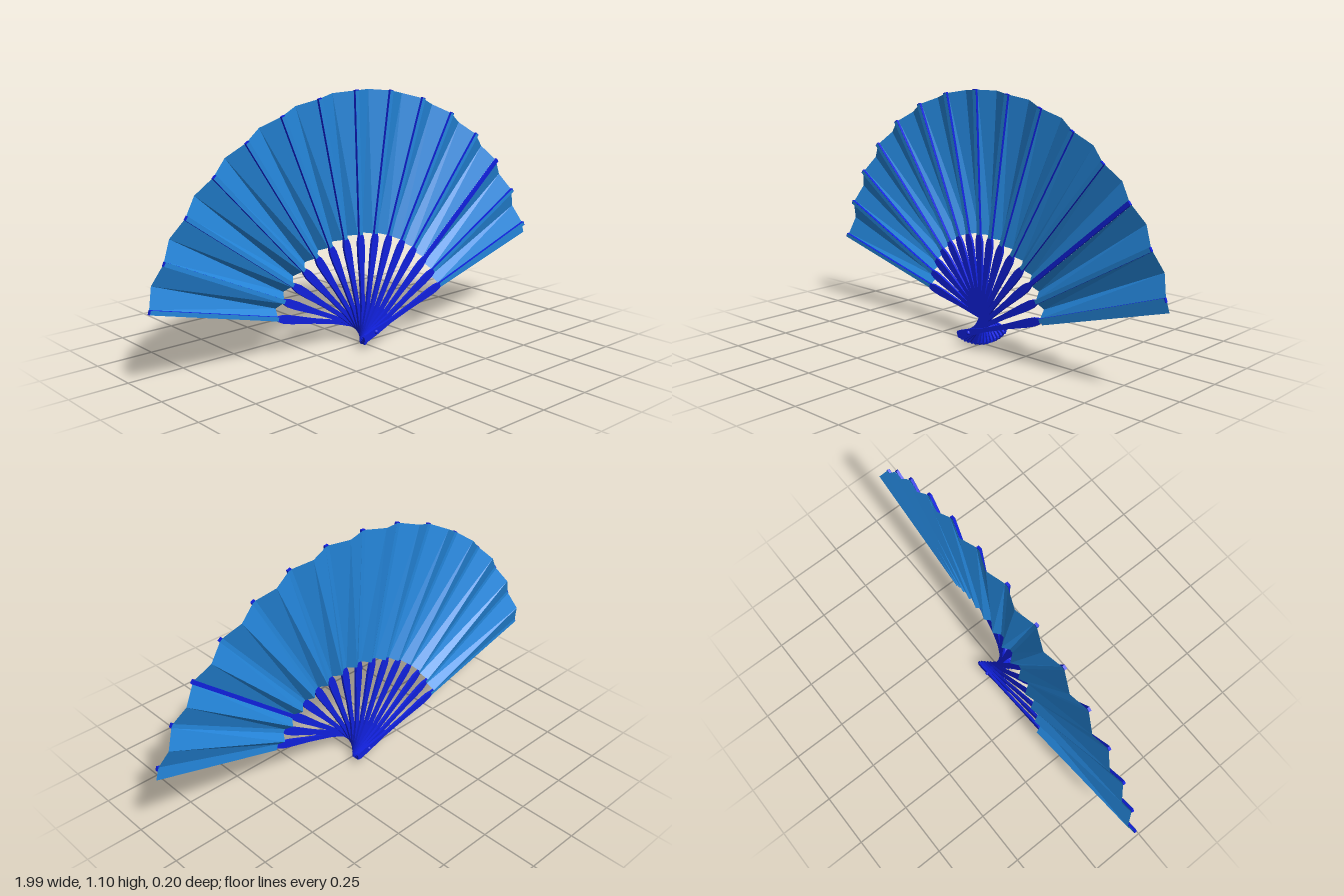
import * as THREE from 'three';

const COUNT = 15;                       // number of sticks
const STEP_Z = 0.0113;                  // thickness of each stick and its stacking step
const INNER = 0.415, OUTER = 1.03;      // leaf radii from the pivot
const HALF = 0.009;                     // half width of a stick under the leaf
const BARE = 2;                         // the one stick the leaf leaves uncovered
const rad = THREE.MathUtils.degToRad;
const stickAngle = (k) => rad(18.8 + (165.5 - 18.8) * k / (COUNT - 1));
const stickZ = (k) => 0.088 - STEP_Z * k;

// Point at radius r along an angle, shifted sideways by s
const polar = (r, a, s, z) => [
  r * Math.cos(a) - s * Math.sin(a), r * Math.sin(a) + s * Math.cos(a), z];

// Flat radial panel between two fold lines { a, s, z }
function addPanel(out, f, g) {
  const p = polar(INNER, f.a, f.s, f.z), q = polar(OUTER, f.a, f.s, f.z);
  const r = polar(OUTER, g.a, g.s, g.z), t = polar(INNER, g.a, g.s, g.z);
  out.push(...p, ...q, ...r, ...p, ...r, ...t);
}

// Facing the front, later fold lines lie counter-clockwise
function leafMesh(name, points, material) {
  const geo = new THREE.BufferGeometry();
  geo.setAttribute('position', new THREE.Float32BufferAttribute(points, 3));
  geo.computeVertexNormals();
  const mesh = new THREE.Mesh(geo, material);
  mesh.name = name;
  return mesh;
}

export function createModel() {
  const fan = new THREE.Group();
  fan.name = 'foldingFan';
  const stickMat = new THREE.MeshStandardMaterial({ color: 0x1020dd, flatShading: true });
  const leafMat = new THREE.MeshStandardMaterial({
    color: 0x2486db, flatShading: true, side: THREE.DoubleSide });

  // Stick outline: [distance from pivot, half width]
  const profile = [[-0.07, 0.012], [-0.06, 0.017], [0, 0.016], [0.09, 0.009], [0.22, 0.011],
    [0.34, 0.018], [0.385, 0.018], [0.405, 0.014], [0.42, HALF], [1.033, HALF]];
  const outline = [...profile.map(([x, w]) => new THREE.Vector2(x, -w)),
    ...profile.slice().reverse().map(([x, w]) => new THREE.Vector2(x, w))];
  const stickGeo = new THREE.ExtrudeGeometry(new THREE.Shape(outline),
    { depth: STEP_Z, bevelEnabled: false });
  stickGeo.translate(0, 0, -STEP_Z / 2);

  const sticks = new THREE.Group();
  sticks.name = 'sticks';
  for (let k = 0; k < COUNT; k++) {
    const stick = new THREE.Mesh(stickGeo, stickMat);
    stick.name = 'stick' + k;
    stick.rotation.z = stickAngle(k);
    stick.position.z = stickZ(k);
    sticks.add(stick);
  }
  fan.add(sticks);

  // Pleated leaf behind the sticks, with cover strips over their fronts
  const pleats = [], strips = [];
  for (let k = 0; k < COUNT; k++) {
    const a = stickAngle(k), back = stickZ(k) - STEP_Z / 2 - 0.0006;
    const left = { a, s: -HALF, z: back }, right = { a, s: HALF, z: back };
    if (k === 0) addPanel(pleats, { a: rad(16.1), s: 0, z: back }, left);
    if (k !== BARE) {
      addPanel(pleats, left, right);
      const front = stickZ(k) + STEP_Z / 2 + 0.0006;
      addPanel(strips, { a, s: -HALF, z: front }, { a, s: HALF, z: front });
    }
    if (k < COUNT - 1) {
      const b = stickAngle(k + 1);
      const valley = { a: (a + b) / 2, s: 0, z: (stickZ(k) + stickZ(k + 1)) / 2 - 0.036 };
      const next = { a: b, s: -HALF, z: stickZ(k + 1) - STEP_Z / 2 - 0.0006 };
      addPanel(pleats, right, valley);
      addPanel(pleats, valley, next);
    }
  }
  fan.add(leafMesh('pleatedLeaf', pleats, leafMat));
  fan.add(leafMesh('leafStrips', strips, leafMat));

  // Rivet through the pivot with a rounded head at each end
  const rivet = new THREE.Group();
  rivet.name = 'rivet';
  const pin = new THREE.Mesh(new THREE.CylinderGeometry(0.008, 0.008, 0.17, 12), stickMat);
  pin.name = 'rivetPin';
  pin.rotation.x = Math.PI / 2;
  pin.position.z = 0.009;
  rivet.add(pin);
  for (const z of [0.092, -0.074]) {
    const head = new THREE.Mesh(new THREE.SphereGeometry(0.01, 12, 8), stickMat);
    head.name = 'rivetHead';
    head.position.z = z;
    rivet.add(head);
  }
  fan.add(rivet);

  fan.position.set(0.004, 0.071, 0);
  const model = new THREE.Group();
  model.name = 'fan';
  model.add(fan);
  return model;
}
